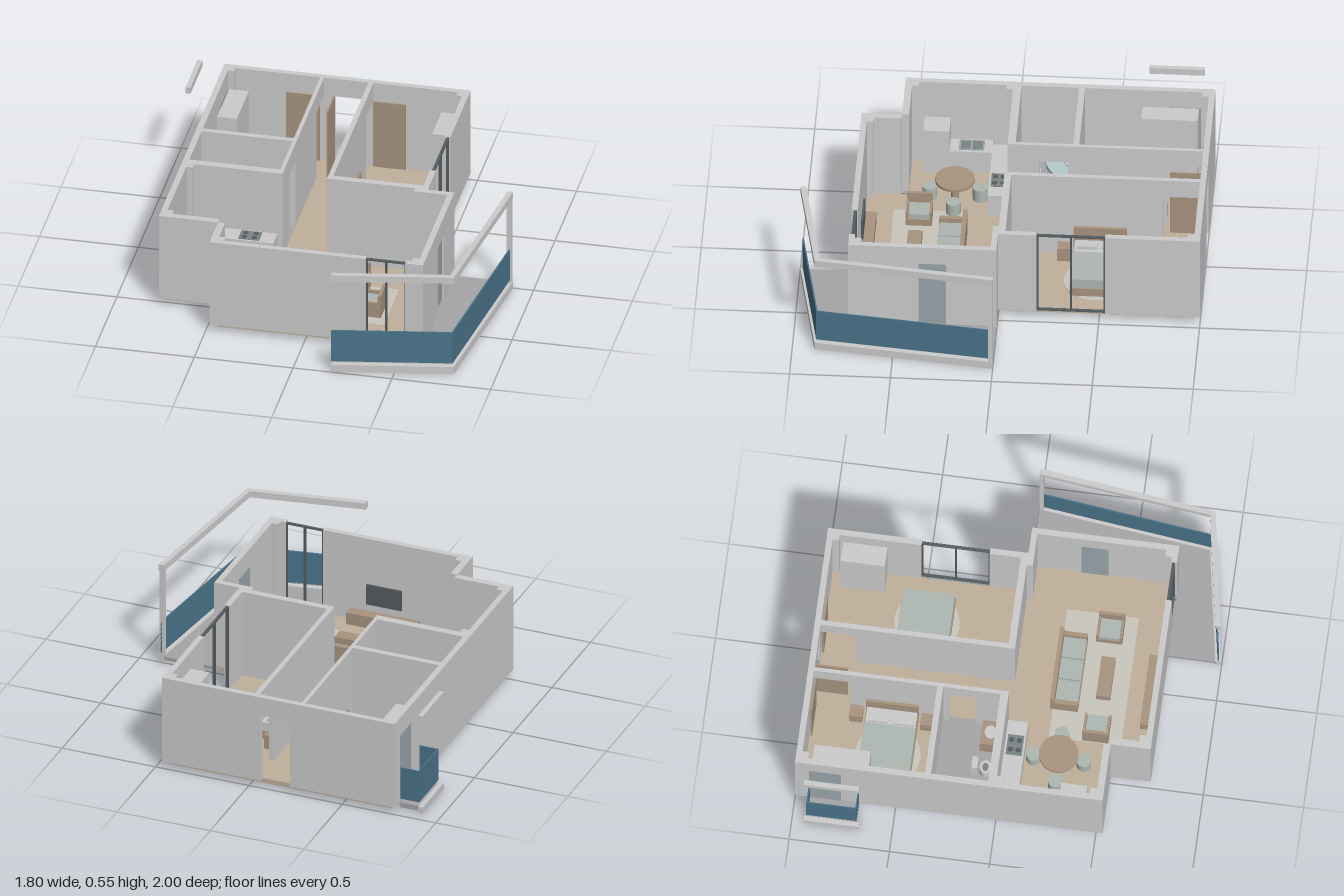
import * as THREE from 'three';

const mat = (color, side = THREE.FrontSide) => new THREE.MeshStandardMaterial({ color, side });
const M = {
  wall: mat(0xcccccc), slab: mat(0xa6a6a8), floor: mat(0xc0b09c), wood: mat(0xa8947f),
  fabric: mat(0xafb7b2), blue: mat(0x4a748a), frame: mat(0x555d60), glass: mat(0x9aa5ab),
  dark: mat(0x7b8484), rug: mat(0xcac6be), shower: mat(0xb4cacb),
};
const FLOOR = 0.045, TOP = 0.515, DOOR = 0.415;

export function createModel() {
  const model = new THREE.Group();

  const add = (name, geometry, material) => {
    const mesh = new THREE.Mesh(geometry, material);
    mesh.name = name;
    model.add(mesh);
    return mesh;
  };
  const box = (name, m, x0, x1, z0, z1, y0, y1) =>
    add(name, new THREE.BoxGeometry(x1 - x0, y1 - y0, z1 - z0), m)
      .position.set((x0 + x1) / 2, (y0 + y1) / 2, (z0 + z1) / 2);
  const disc = (name, m, x, z, r, y0, y1, sx = 1, sz = 1) => {
    const d = add(name, new THREE.CylinderGeometry(r, r, y1 - y0, 32), m);
    d.position.set(x, (y0 + y1) / 2, z);
    d.scale.set(sx, 1, sz);
  };
  // Plan outline [x, z] raised from y0 to y1
  const prism = (name, m, pts, y0, y1) => {
    const shape = new THREE.Shape(pts.map(p => new THREE.Vector2(...p)));
    const g = new THREE.ExtrudeGeometry(shape, { depth: y1 - y0, bevelEnabled: false });
    add(name, g.rotateX(Math.PI / 2).translate(0, y1, 0), m);
  };

  // Floors
  prism('woodFloor', M.floor, [
    [-0.75, -0.97], [0.435, -0.97], [0.435, -0.035], [-0.045, -0.035], [-0.045, 0], [0.57, 0],
    [0.57, 0.705], [-0.445, 0.705], [-0.445, 0.5], [-0.75, 0.5], [-0.75, 0], [-0.27, 0],
    [-0.27, -0.355], [-0.75, -0.355]], 0.02, FLOOR);
  box('bathroomFloor', M.slab, -0.75, -0.27, -0.325, -0.04, 0.02, FLOOR);

  // Full-height walls: x0, x1, z0, z1
  [
    [-0.78, -0.22, -1, -0.97], [-0.06, 0.465, -1, -0.97],
    [-0.78, -0.75, -0.97, -0.93], [-0.78, -0.75, -0.77, 0.535],
    [-0.75, -0.48, 0.5, 0.535], [-0.48, -0.445, 0.535, 0.735],
    [-0.445, 0.31, 0.705, 0.735], [0.51, 0.6, 0.705, 0.735],
    [0.57, 0.6, 0, 0.25], [0.57, 0.6, 0.385, 0.705],
    [0.435, 0.465, -0.97, -0.53], [0.435, 0.465, -0.19, 0],
    [-0.045, 0.435, -0.035, 0], [0.4, 0.57, 0, 0.03],
    [-0.045, -0.02, -0.79, -0.035], [-0.29, -0.27, -0.79, -0.3], [-0.29, -0.27, -0.16, 0],
    [-0.75, -0.29, -0.355, -0.325], [-0.75, -0.29, -0.04, 0],
  ].forEach(([a, b, c, d]) => box('wall', M.wall, a, b, c, d, FLOOR, TOP));

  // Wall pieces above the doors
  [
    [-0.22, -0.06, -1, -0.97], [-0.78, -0.75, -0.93, -0.77], [0.57, 0.6, 0.25, 0.385],
    [-0.045, -0.02, -0.97, -0.79], [-0.29, -0.27, -0.97, -0.79], [-0.29, -0.27, -0.3, -0.16],
  ].forEach(([a, b, c, d]) => box('doorLintel', M.wall, a, b, c, d, DOOR, TOP));

  // Corner columns
  [[-0.75, -0.97], [0.407, -0.97], [-0.75, 0], [-0.75, 0.467], [-0.445, 0.672], [0.537, 0.672]]
    .forEach(([x, z]) => box('cornerColumn', M.wall, x, x + 0.033, z, z + 0.033, FLOOR, TOP));

  // Open door leaves and glazed doors
  box('bedroomDoor', M.wood, -0.46, -0.29, -0.965, -0.957, FLOOR, DOOR);
  box('bedroomDoor', M.wood, -0.02, 0.145, -0.965, -0.957, FLOOR, DOOR);
  box('entranceDoor', M.wood, -0.224, -0.216, -0.97, -0.81, FLOOR, DOOR);
  box('balconyDoor', M.glass, -0.772, -0.748, -0.93, -0.77, FLOOR, DOOR);
  box('terraceDoor', M.glass, 0.567, 0.59, 0.25, 0.385, FLOOR, DOOR);

  // Sliding windows: frame with a middle post
  for (const t of [0.312, 0.41, 0.508]) {
    const w = t === 0.41 ? 0.005 : 0.004;
    box('frontWindowPost', M.frame, t - w, t + w, 0.71, 0.725, FLOOR, 0.51);
  }
  for (const y of [FLOOR, 0.502]) {
    box('frontWindowRail', M.frame, 0.31, 0.51, 0.71, 0.725, y, y + 0.008);
    box('sideWindowRail', M.frame, 0.443, 0.458, -0.53, -0.19, y, y + 0.008);
  }
  for (const t of [-0.526, -0.36, -0.194])
    box('sideWindowPost', M.frame, 0.443, 0.458, t - 0.004, t + 0.004, FLOOR, 0.51);

  // Corner terrace
  const outer = [[0.19, 0.997], [0.79, 0.89], [0.897, 0]];
  const inner = [[0.19, 0.968], [0.767, 0.865], [0.869, 0]];
  const strip = (a, b) => {
    const edge = t => outer.map((p, i) => p.map((v, k) => v + (inner[i][k] - v) * t));
    return [...edge(a), ...edge(b).reverse()];
  };
  prism('terraceFloor', M.slab,
    [[0.19, 0.735], ...inner, [0.6, 0], [0.6, 0.735]], 0.022, 0.04);
  prism('terraceRim', M.wall, strip(0, 1), 0.005, FLOOR);
  prism('terraceRailing', M.blue, strip(0.35, 0.6), 0.06, 0.235);
  prism('terraceTopBeam', M.wall, strip(0, 1), 0.52, 0.555);
  box('terracePost', M.wall, 0.868, 0.893, 0, 0.022, FLOOR, 0.52);

  // Small side balcony
  box('balconyFloor', M.slab, -0.88, -0.78, -0.93, -0.68, 0.012, 0.04);
  box('balconyRim', M.wall, -0.905, -0.88, -0.94, -0.665, 0.005, 0.04);
  box('balconyTopBeam', M.wall, -0.905, -0.88, -0.94, -0.665, 0.52, 0.555);
  box('balconyRailing', M.blue, -0.882, -0.876, -0.93, -0.68, 0.06, 0.235);
  for (const z of [-0.93, -0.686])
    box('balconySideRailing', M.blue, -0.876, -0.782, z, z + 0.006, 0.06, 0.235);

  // Beds: h is the headboard position, s the direction of the foot
  const bed = (h, s, zc, length, pillowAt, blanketAt) => {
    const part = (name, m, a, b, z0, z1, y0, y1) =>
      box(name, m, Math.min(h + s * a, h + s * b), Math.max(h + s * a, h + s * b), zc + z0, zc + z1, y0, y1);
    disc('roundRug', M.rug, h + s * 0.22, zc + 0.005, 0.163, FLOOR, 0.048);
    part('bedBase', M.wood, 0.01, length, -0.132, 0.132, 0.05, 0.095);
    part('headboard', M.wood, 0, 0.015, -0.132, 0.132, FLOOR, 0.215);
    part('mattress', M.wall, 0.015, length - 0.006, -0.125, 0.125, 0.095, 0.14);
    part('blanket', M.fabric, blanketAt, length - 0.004, -0.128, 0.128, 0.096, 0.148);
    for (const z of [-0.062, 0.062])
      part('pillow', M.wall, pillowAt, pillowAt + 0.048, z - 0.05, z + 0.05, 0.14, 0.158);
    for (const z of [-0.177, 0.177])
      part('nightstand', M.wood, 0.005, 0.068, z - 0.033, z + 0.033, FLOOR, 0.12);
  };
  bed(-0.292, -1, -0.577, 0.338, 0.043, 0.098);
  bed(-0.018, 1, -0.477, 0.353, 0.043, 0.12);
  box('wardrobe', M.wall, -0.74, -0.64, -0.92, -0.64, FLOOR, 0.42);
  box('wardrobe', M.wall, 0.335, 0.435, -0.92, -0.7, FLOOR, 0.42);

  // Bathroom
  const arc = [[-0.75, -0.325]];
  for (let i = 0; i <= 12; i++) {
    const a = i * Math.PI / 24;
    arc.push([-0.75 + 0.165 * Math.cos(a), -0.325 + 0.165 * Math.sin(a)]);
  }
  prism('showerTray', M.shower, arc, FLOOR, 0.065);
  prism('showerSeat', M.wall, [[-0.75, -0.325], [-0.61, -0.325], [-0.75, -0.235]], 0.065, 0.07);
  box('toiletTank', M.wall, -0.56, -0.5, -0.15, -0.12, FLOOR, 0.15);
  disc('toiletBowl', M.wall, -0.53, -0.083, 0.03, FLOOR, 0.1, 1.15, 0.95);
  disc('toiletOpening', M.dark, -0.53, -0.083, 0.019, 0.1, 0.102, 1.1, 0.8);
  box('vanity', M.wood, -0.43, -0.305, -0.125, -0.04, FLOOR, 0.15);
  disc('washbasin', M.wall, -0.365, -0.08, 0.03, 0.15, 0.158, 1.15, 0.95);

  // Kitchen
  box('counter', M.wall, -0.715, -0.295, 0, 0.1, FLOOR, 0.17);
  box('sideCounter', M.wall, -0.75, -0.645, 0.1, 0.31, FLOOR, 0.17);
  box('fridge', M.wall, -0.75, -0.635, 0.31, 0.44, FLOOR, 0.3);
  box('hob', M.dark, -0.475, -0.37, 0.01, 0.09, 0.17, 0.174);
  for (const x of [-0.448, -0.397]) for (const z of [0.03, 0.07])
    disc('burner', M.frame, x, z, 0.013, 0.174, 0.177);
  box('kitchenSink', M.glass, -0.74, -0.66, 0.14, 0.265, 0.17, 0.173);
  for (const z of [0.148, 0.208]) box('sinkBowl', M.dark, -0.732, -0.668, z, z + 0.048, 0.173, 0.175);

  // Dining set
  disc('diningTableTop', M.wood, -0.435, 0.27, 0.098, 0.15, 0.165);
  disc('diningTableLeg', M.wood, -0.435, 0.27, 0.02, FLOOR, 0.15);
  for (let i = 0; i < 4; i++) {
    const a = i * Math.PI / 2;
    disc('stool', M.fabric, -0.435 + 0.125 * Math.cos(a), 0.27 + 0.125 * Math.sin(a), 0.037, FLOOR, 0.115);
  }

  // Living room seating: wooden frame with cushions, back on one side
  box('livingRug', M.rug, -0.315, 0.365, 0.205, 0.565, FLOOR, 0.048);
  box('sofaBase', M.wood, -0.165, 0.22, 0.19, 0.33, 0.048, 0.085);
  box('sofaBack', M.wood, -0.165, 0.22, 0.19, 0.212, 0.085, 0.18);
  for (const x of [-0.165, 0.198]) box('sofaArm', M.wood, x, x + 0.022, 0.212, 0.33, 0.085, 0.135);
  for (const x of [-0.135, -0.022, 0.091])
    box('sofaCushion', M.fabric, x, x + 0.105, 0.214, 0.326, 0.085, 0.115);
  for (const [x, s] of [[-0.25, -1], [0.275, 1]]) {
    box('armchairBase', M.wood, x - 0.06, x + 0.06, 0.37, 0.5, 0.048, 0.085);
    box('armchairBack', M.wood, x + s * 0.052 - 0.008, x + s * 0.052 + 0.008, 0.37, 0.5, 0.085, 0.17);
    for (const z of [0.37, 0.488]) box('armchairArm', M.wood, x - 0.06, x + 0.06, z, z + 0.012, 0.085, 0.13);
    box('armchairCushion', M.fabric, x - s * 0.008 - 0.05, x - s * 0.008 + 0.05, 0.384, 0.486, 0.085, 0.115);
  }
  box('coffeeTable', M.wood, -0.085, 0.125, 0.41, 0.48, 0.048, 0.1);
  box('televisionStand', M.wood, -0.21, 0.16, 0.645, 0.704, FLOOR, 0.11);
  box('television', M.frame, -0.115, 0.075, 0.693, 0.704, 0.15, 0.26);

  return model;
}
